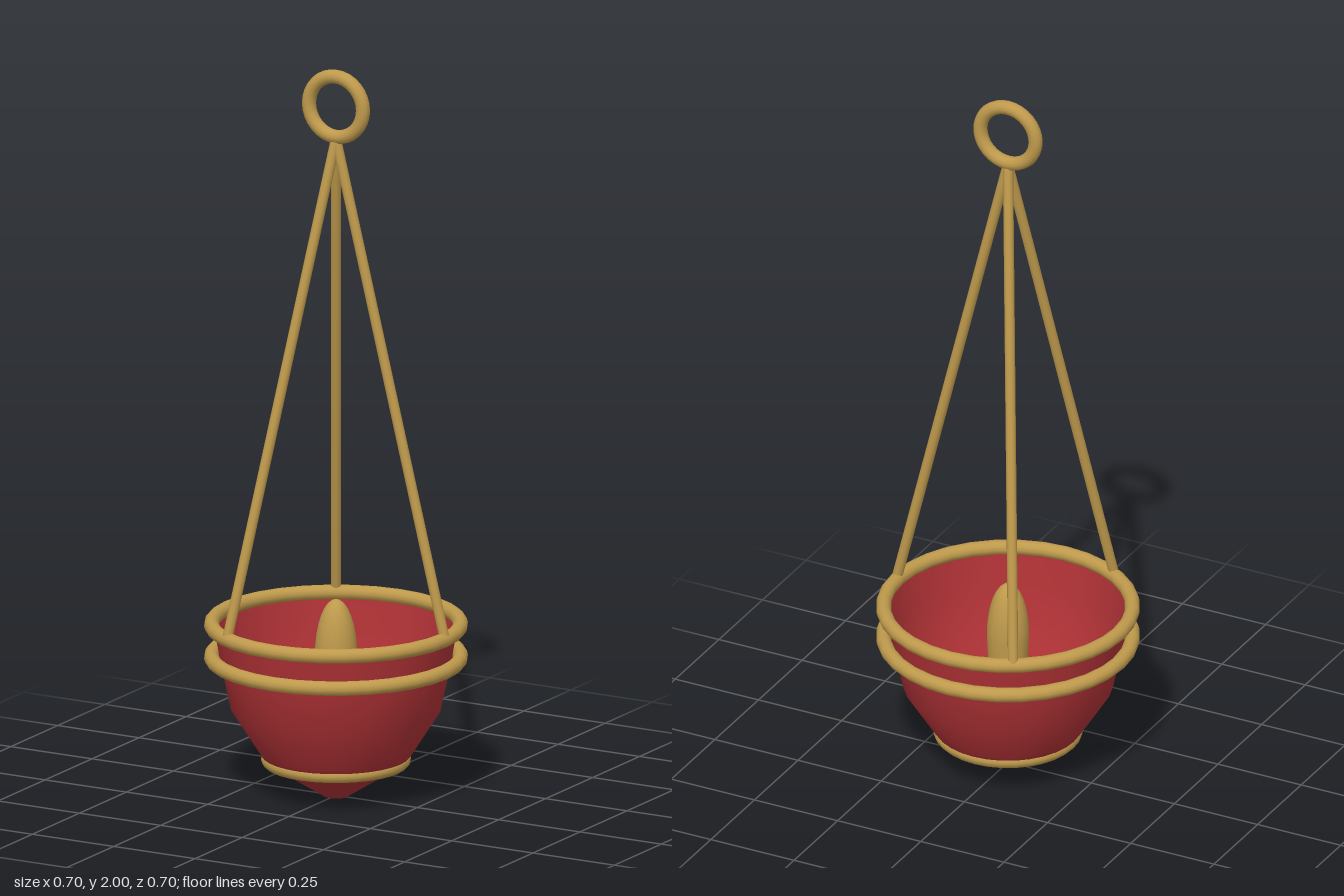
import * as THREE from 'three';

export function createModel() {
  const group = new THREE.Group();
  const gold = new THREE.MeshStandardMaterial({ color: 0xbf9a4c, side: THREE.DoubleSide });
  gold.name = 'gold';
  const red = new THREE.MeshStandardMaterial({ color: 0xb03236, side: THREE.DoubleSide });
  red.name = 'red glass';

  const add = (name, geometry, material) => {
    const mesh = new THREE.Mesh(geometry, material);
    mesh.name = name;
    group.add(mesh);
    return mesh;
  };
  const lathe = (points, segments) =>
    new THREE.LatheGeometry(points.map(([r, y]) => new THREE.Vector2(r, y)), segments);

  // Open bowl with a thin wall
  add('bowl', lathe([
    [0.033, 0], [0.19, 0.1], [0.205, 0.122], [0.28, 0.24], [0.308, 0.37], [0.325, 0.47],
  ], 32), red);

  // Horizontal bands around the bowl
  const band = (name, radius, y) => {
    const mesh = add(name, new THREE.TorusGeometry(radius, 0.02, 12, 32), gold);
    mesh.rotation.x = Math.PI / 2;
    mesh.position.y = y;
  };
  band('rimBand', 0.332, 0.472);
  band('middleBand', 0.332, 0.383);
  band('lowerBand', 0.18, 0.102);

  // Rounded candle holder rising from the base
  const candle = [[0, 0.001], [0.033, 0.001], [0.035, 0.03], [0.04, 0.2], [0.053, 0.31]];
  for (let i = 0; i <= 8; i++) {
    const a = (i / 8) * Math.PI / 2;
    candle.push([0.057 * Math.cos(a), 0.386 + 0.155 * Math.sin(a)]);
  }
  add('candle', lathe(candle, 20), gold);

  // Three suspension rods meeting under the ring
  const top = new THREE.Vector3(0, 1.81, 0);
  for (let i = 0; i < 3; i++) {
    const a = (i * Math.PI * 2) / 3;
    const foot = new THREE.Vector3(0.335 * Math.cos(a), 0.472, 0.335 * Math.sin(a));
    const along = top.clone().sub(foot);
    const rod = add('rod' + (i + 1), new THREE.CylinderGeometry(0.014, 0.014, along.length(), 10), gold);
    rod.position.copy(foot).add(top).multiplyScalar(0.5);
    rod.quaternion.setFromUnitVectors(new THREE.Vector3(0, 1, 0), along.normalize());
  }

  // Hanging ring
  add('hangingRing', new THREE.TorusGeometry(0.083, 0.019, 12, 32), gold).position.y = 1.898;

  return group;
}
